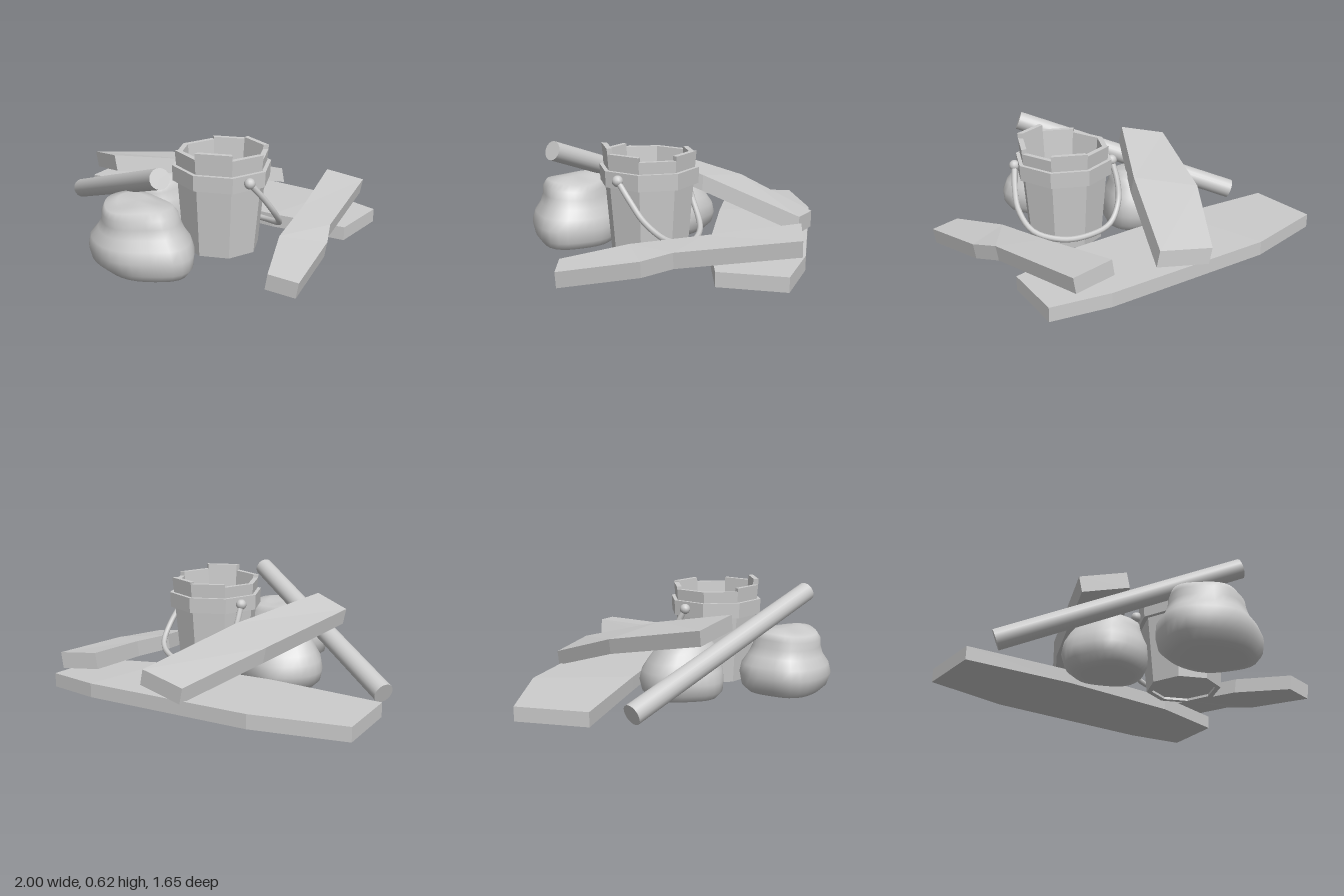
import * as THREE from 'three';

const grey = (flat) => new THREE.MeshStandardMaterial({ color: 0xcccccc, flatShading: flat });

function add(parent, name, geometry, flat = true) {
  const mesh = new THREE.Mesh(geometry, grey(flat));
  mesh.name = name;
  parent.add(mesh);
  return mesh;
}

// Sharp-edged solid through rings that run clockwise seen along the path
function loft(rings) {
  const pos = [];
  const quad = (a, b, c, d) => pos.push(...a, ...b, ...c, ...a, ...c, ...d);
  for (let i = 0; i < rings.length - 1; i++) {
    const r = rings[i], s = rings[i + 1];
    for (let k = 0; k < 4; k++) quad(r[k], r[(k + 1) % 4], s[(k + 1) % 4], s[k]);
  }
  const f = rings[0], l = rings[rings.length - 1];
  quad(f[0], f[3], f[2], f[1]);
  quad(l[0], l[1], l[2], l[3]);
  const g = new THREE.BufferGeometry();
  g.setAttribute('position', new THREE.Float32BufferAttribute(pos, 3));
  g.computeVertexNormals();
  return g;
}

// Plank: pairs of left and right top corners, and the offset to the underside
function plank(sections, off) {
  const down = (p) => p.map((v, i) => v + off[i]);
  return loft(sections.map(([l, r]) => [l, r, down(r), down(l)]));
}

// Boulder: rows of [y, centre x, centre z, radius x, radius z] from the bottom up
function boulder(rows, phase) {
  const n = 32, pos = [], idx = [];
  rows.forEach(([y, cx, cz, rx, rz], j) => {
    for (let i = 0; i < n; i++) {
      const a = (i / n) * Math.PI * 2;
      const k = 1 + 0.035 * Math.sin(3 * a + phase + j * 0.25) + 0.025 * Math.sin(5 * a + phase * 2 - j * 0.2);
      pos.push(cx + rx * k * Math.cos(a), y + 0.012 * Math.sin(2 * a + phase) * (j / rows.length), cz + rz * k * Math.sin(a));
    }
  });
  for (let j = 0; j < rows.length - 1; j++) {
    for (let i = 0; i < n; i++) {
      const a = j * n + i, b = j * n + (i + 1) % n;
      idx.push(a, a + n, b, b, a + n, b + n);
    }
  }
  const last = rows.length - 1, base = rows.length * n;
  pos.push(rows[0][1], rows[0][0], rows[0][2], rows[last][1], rows[last][0] + 0.004, rows[last][2]);
  for (let i = 0; i < n; i++) {
    const k = (i + 1) % n;
    idx.push(base, i, k, base + 1, last * n + k, last * n + i);
  }
  const g = new THREE.BufferGeometry();
  g.setAttribute('position', new THREE.Float32BufferAttribute(pos, 3));
  g.setIndex(idx);
  g.computeVertexNormals();
  return g;
}

function createBucket() {
  const bucket = new THREE.Group();
  bucket.name = 'bucket';
  const cx = 0.295, cz = 0.075, bottom = 0.02, turn = -0.05;

  // Eight staves of uneven height
  const heights = [0.6, 0.63, 0.595, 0.575, 0.575, 0.59, 0.6, 0.575];
  heights.forEach((top, i) => {
    const a0 = turn + (i * Math.PI) / 4, a1 = a0 + Math.PI / 4;
    const ring = (y) => {
      const r = 0.218 + 0.085 * (y - bottom);
      const at = (a, q) => [cx + q * Math.cos(a), y, cz + q * Math.sin(a)];
      return [at(a1, r), at(a0, r), at(a0, r - 0.032), at(a1, r - 0.032)];
    };
    add(bucket, 'stave', loft([ring(bottom), ring(top)]));
  });

  const floor = add(bucket, 'bucketFloor', new THREE.CylinderGeometry(0.205, 0.2, 0.03, 8));
  floor.position.set(cx, 0.05, cz);
  floor.rotation.y = -turn;

  // Hoop around the staves
  const profile = [[0.268, 0.42], [0.279, 0.42], [0.283, 0.51], [0.24, 0.51], [0.235, 0.42], [0.268, 0.42]];
  const hoop = add(bucket, 'hoop', new THREE.LatheGeometry(profile.map((p) => new THREE.Vector2(...p)), 8));
  hoop.position.set(cx, 0, cz);
  hoop.rotation.y = -turn;

  // Handle hanging down behind the bucket, with a knob at each end
  const path = [
    [0.555, 0.47, 0.18], [0.595, 0.37, 0.1], [0.615, 0.27, 0.02], [0.58, 0.17, -0.09], [0.45, 0.125, -0.18],
    [0.3, 0.12, -0.205], [0.14, 0.15, -0.185], [0.05, 0.25, -0.13], [0.03, 0.36, -0.085], [0.035, 0.47, -0.03],
  ].map((p) => new THREE.Vector3(...p));
  add(bucket, 'handle', new THREE.TubeGeometry(new THREE.CatmullRomCurve3(path), 40, 0.017, 8), false);
  for (const p of [path[0], path[path.length - 1]]) {
    add(bucket, 'handleKnob', new THREE.SphereGeometry(0.031, 12, 8), false).position.copy(p);
  }
  return bucket;
}

export function createModel() {
  const model = new THREE.Group();
  model.name = 'rubblePile';

  // Planks
  add(model, 'groundPlank', plank([
    [[-1, 0.1, -0.59], [-0.96, 0.1, -0.18]],
    [[-0.5, 0.115, -0.76], [-0.3, 0.12, -0.225]],
    [[0.5, 0.11, -0.82], [0.41, 0.115, -0.29]],
    [[0.83, 0.1, -0.77], [0.83, 0.1, -0.4]],
  ], [0, -0.08, 0]));
  add(model, 'leaningPlank', plank([
    [[-0.51, 0.46, 0.25], [-0.265, 0.51, 0.35]],
    [[-0.35, 0.34, -0.35], [-0.03, 0.395, -0.17]],
    [[-0.13, 0.19, -0.8], [0.175, 0.23, -0.755]],
  ], [0.02, -0.09, 0.0]));
  add(model, 'sidePlank', plank([
    [[0.835, 0.11, 0.415], [1, 0.095, 0.38]],
    [[0.69, 0.17, 0.08], [0.92, 0.155, -0.04]],
    [[0.615, 0.22, -0.3], [0.85, 0.19, -0.19]],
    [[0.485, 0.28, -0.79], [0.72, 0.255, -0.82]],
  ], [-0.015, -0.09, 0]));

  // Round pole resting across the boulders
  const from = new THREE.Vector3(-0.875, 0.08, 0.015), to = new THREE.Vector3(0.312, 0.57, 0.635);
  const dir = to.clone().sub(from);
  const poleGeometry = new THREE.CylinderGeometry(0.056, 0.059, dir.length(), 20);
  const pole = add(model, 'pole', poleGeometry, false);
  pole.position.copy(from).add(to).multiplyScalar(0.5);
  pole.quaternion.setFromUnitVectors(new THREE.Vector3(0, 1, 0), dir.normalize());

  // Boulders
  add(model, 'frontBoulder', boulder([
    [0.01, 0.17, 0.55, 0.18, 0.16], [0.018, 0.15, 0.555, 0.25, 0.21], [0.06, 0.135, 0.56, 0.295, 0.245],
    [0.13, 0.13, 0.565, 0.305, 0.26], [0.19, 0.12, 0.565, 0.29, 0.245], [0.24, 0.12, 0.565, 0.25, 0.21],
    [0.29, 0.12, 0.57, 0.228, 0.19], [0.335, 0.115, 0.575, 0.22, 0.185], [0.37, 0.105, 0.575, 0.195, 0.165],
    [0.383, 0.1, 0.575, 0.12, 0.1],
  ], 0.6), false);
  add(model, 'backBoulder', boulder([
    [0.01, -0.2, 0.05, 0.15, 0.14], [0.02, -0.2, 0.05, 0.2, 0.19], [0.06, -0.21, 0.045, 0.235, 0.23],
    [0.12, -0.215, 0.04, 0.245, 0.24], [0.18, -0.21, 0.04, 0.238, 0.23], [0.23, -0.205, 0.04, 0.215, 0.2],
    [0.28, -0.2, 0.05, 0.185, 0.175], [0.32, -0.19, 0.06, 0.165, 0.15], [0.345, -0.18, 0.07, 0.12, 0.11],
  ], 2.4), false);

  model.add(createBucket());
  return model;
}
